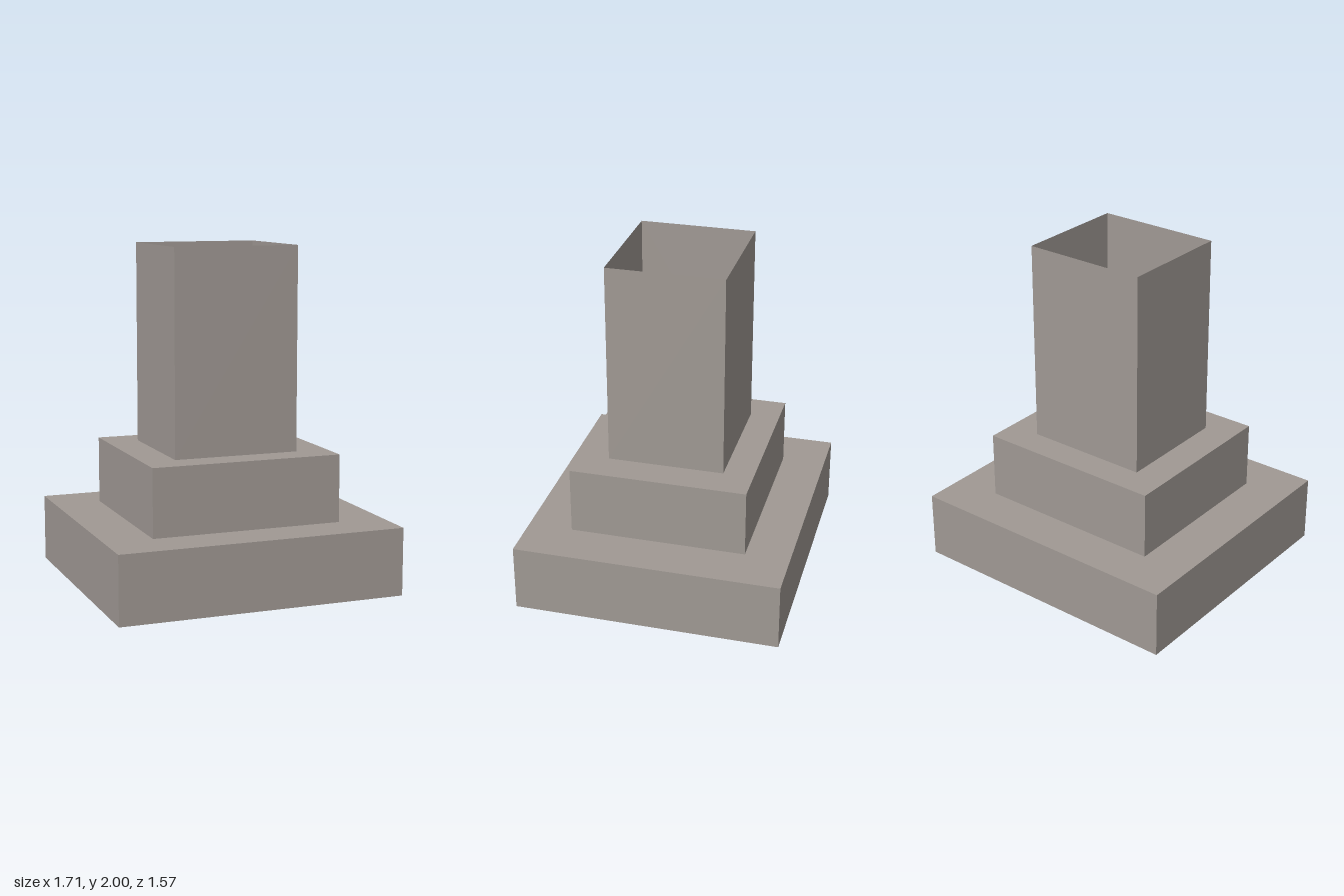
import * as THREE from 'three';
import { mergeGeometries } from 'three/addons/utils/BufferGeometryUtils.js';

// Four upright faces of an open rectangular tube
function wallGeometry(hx, hz, y0, y1) {
  const walls = [];
  for (let i = 0; i < 4; i++) {
    const [half, dist] = i % 2 ? [hz, hx] : [hx, hz];
    const wall = new THREE.PlaneGeometry(2 * half, y1 - y0);
    wall.translate(0, (y0 + y1) / 2, dist);
    wall.rotateY((i * Math.PI) / 2);
    walls.push(wall);
  }
  return mergeGeometries(walls);
}

// Flat rectangular ring joining one tier to the next
function ledgeGeometry(outer, inner, y) {
  const corners = ([hx, hz]) => [[-hx, -hz], [hx, -hz], [hx, hz], [-hx, hz]].map(
    ([x, z]) => new THREE.Vector2(x, z));
  const shape = new THREE.Shape(corners(outer));
  shape.holes.push(new THREE.Path(corners(inner).reverse()));
  return new THREE.ShapeGeometry(shape).rotateX(-Math.PI / 2).translate(0, y, 0);
}

export function createModel() {
  const model = new THREE.Group();
  model.name = 'steppedPedestal';

  const stone = new THREE.MeshStandardMaterial({ color: 0xa09994, side: THREE.DoubleSide });
  stone.name = 'warm grey stone';

  const add = (name, geometry) => {
    const mesh = new THREE.Mesh(geometry, stone);
    mesh.name = name;
    model.add(mesh);
  };

  // Hollow tiers from the ground up, open at the top and bottom
  const tiers = [
    { name: 'base', half: [0.853, 0.784], y0: 0, y1: 0.4 },
    { name: 'middleStep', half: [0.57, 0.521], y0: 0.4, y1: 0.8 },
    { name: 'column', half: [0.375, 0.343], y0: 0.8, y1: 2 },
  ];
  tiers.forEach(({ name, half, y0, y1 }, i) => {
    add(name + 'Walls', wallGeometry(...half, y0, y1));
    const next = tiers[i + 1];
    if (next) add(name + 'Ledge', ledgeGeometry(half, next.half, y1));
  });

  return model;
}
